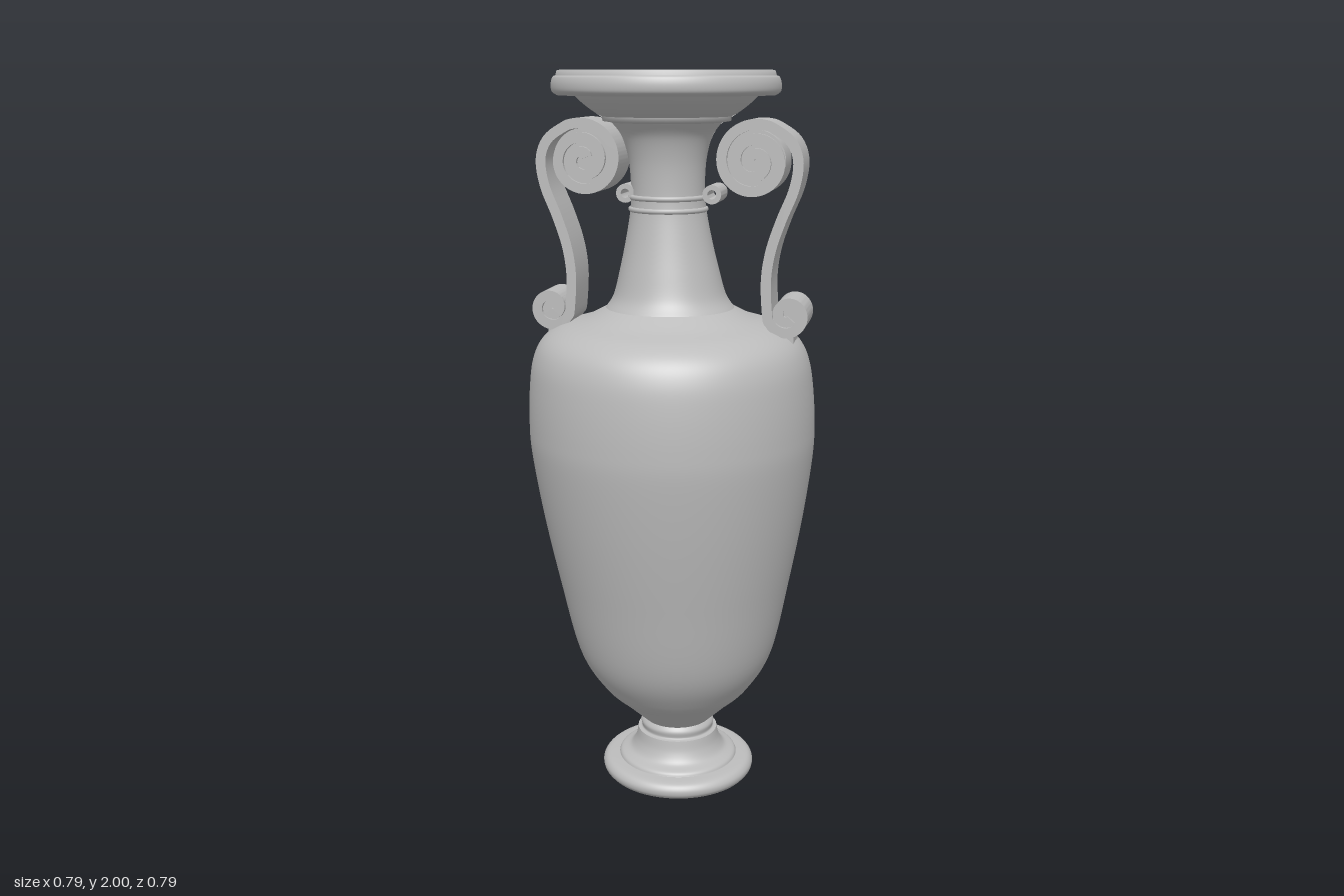
import * as THREE from 'three';
import { toCreasedNormals } from 'three/addons/utils/BufferGeometryUtils.js';

const stone = new THREE.MeshStandardMaterial({ color: 0xbcbcbc });
stone.name = 'pale grey stone';

// The turned parts lean very slightly towards -x as they rise.
const lean = new THREE.Matrix4().set(
  1, -0.0175, 0, 0.0175,
  0, 1, 0, 0,
  0, 0, 1, 0,
  0, 0, 0, 1);

const vectors = (points) => points.map(([x, y]) => new THREE.Vector2(x, y));

function addMesh(parent, name, geometry) {
  const mesh = new THREE.Mesh(geometry, stone);
  mesh.name = name;
  parent.add(mesh);
  return mesh;
}

// Smooth surface of revolution through a few profile points
function turned(parent, name, points, steps) {
  const profile = steps ? new THREE.SplineCurve(vectors(points)).getPoints(steps) : vectors(points);
  profile.forEach((p) => { p.x = Math.max(p.x, 0); });
  return addMesh(parent, name, new THREE.LatheGeometry(profile, 96).applyMatrix4(lean));
}

// Extrude a flat outline along z, centred, with rounded sides kept smooth
function slab(shape, depth) {
  const geometry = new THREE.ExtrudeGeometry(shape, { depth, bevelEnabled: false, curveSegments: 24 });
  geometry.translate(0, 0, 0.005 - depth / 2);
  return toCreasedNormals(geometry, 0.6);
}

// Strip of constant thickness following a centre line
function ribbon(points, thickness, depth, samples) {
  const curve = new THREE.SplineCurve(vectors(points));
  const left = [], right = [];
  for (let i = 0; i <= samples; i++) {
    const p = curve.getPoint(i / samples), t = curve.getTangent(i / samples);
    const n = new THREE.Vector2(-t.y, t.x).multiplyScalar(thickness / 2);
    left.push(p.clone().add(n));
    right.push(p.clone().sub(n));
  }
  return slab(new THREE.Shape([...left, ...right.reverse()]), depth);
}

function disc(x, y, radius, hole = 0) {
  const shape = new THREE.Shape().absarc(x, y, radius, 0, Math.PI * 2, false);
  if (hole) shape.holes.push(new THREE.Path().absarc(x, y, hole, 0, Math.PI * 2, true));
  return shape;
}

function spiral(cx, cy, startAngle, sweep, r0, r1, count) {
  return Array.from({ length: count + 1 }, (_, i) => {
    const t = i / count, a = startAngle + sweep * t, r = r0 + (r1 - r0) * t;
    return [cx + r * Math.cos(a), cy + r * Math.sin(a)];
  });
}

function createHandle(side) {
  const handle = new THREE.Group();
  handle.name = side > 0 ? 'leftHandle' : 'rightHandle';
  const mirror = (points) => points.map(([x, y]) => [x * side, y]);

  // Large scroll, S-shaped strap and small scroll in one strip
  const path = [
    ...spiral(0.23, 1.77, Math.PI / 3, Math.PI * 4.5, 0.098, 0.014, 54).reverse(),
    [0.325, 1.822], [0.345, 1.77], [0.335, 1.7], [0.303, 1.62], [0.277, 1.54], [0.266, 1.46],
    ...spiral(0.325, 1.372, Math.PI * 1.03, Math.PI * 2.7, 0.054, 0.014, 24),
  ];
  addMesh(handle, 'scrollStrap', ribbon(mirror(path), 0.027, 0.128, 420));

  // Recessed fillings behind the spirals
  addMesh(handle, 'upperScrollCore', slab(disc(0.23 * side, 1.77, 0.082), 0.106));
  addMesh(handle, 'lowerScrollCore', slab(disc(0.325 * side, 1.372, 0.042), 0.106));

  // Small rolled curl touching the neck, and foot touching the shoulder
  addMesh(handle, 'neckCurl', slab(disc(0.117 * side, 1.683, 0.025, 0.012), 0.1));
  const foot = addMesh(handle, 'strapFoot', new THREE.BoxGeometry(0.06, 0.05, 0.085));
  foot.position.set(0.31 * side, 1.312, 0.005);
  return handle;
}

export function createModel() {
  const vase = new THREE.Group();
  vase.name = 'vase';

  // Hollow foot and its moulding
  turned(vase, 'footHollow', [[0, 0.12], [0.05, 0.115], [0.085, 0.085], [0.115, 0.045], [0.16, 0.03], [0.18, 0.004]], 30);
  turned(vase, 'footBase', [[0.18, 0.004], [0.185, 0], [0.21, 0]]);
  turned(vase, 'footEdge', [[0.21, 0], [0.219, 0.012], [0.219, 0.028], [0.205, 0.042], [0.172, 0.046]], 20);
  turned(vase, 'footStem', [[0.172, 0.046], [0.165, 0.056], [0.138, 0.068], [0.122, 0.095], [0.115, 0.128]], 24);
  turned(vase, 'footCollar', [[0.115, 0.128], [0.104, 0.132], [0.106, 0.15], [0.096, 0.165]], 16);

  // Swelling body, shoulder and neck
  turned(vase, 'body', [
    [0.094, 0.16], [0.155, 0.218], [0.218, 0.28], [0.28, 0.39], [0.328, 0.6], [0.367, 0.8],
    [0.392, 0.97], [0.396, 1.06], [0.391, 1.16], [0.379, 1.235], [0.353, 1.287], [0.305, 1.322],
    [0.235, 1.345], [0.175, 1.375],
  ], 90);
  turned(vase, 'neck', [
    [0.175, 1.375], [0.153, 1.41], [0.134, 1.48], [0.116, 1.56], [0.102, 1.64], [0.099, 1.7],
    [0.104, 1.77], [0.12, 1.83], [0.146, 1.866],
  ], 50);
  for (const y of [1.64, 1.672]) {
    const ring = new THREE.TorusGeometry(0.101, 0.007, 10, 80).rotateX(Math.PI / 2).translate(0, y, 0);
    addMesh(vase, 'neckRing', ring.applyMatrix4(lean));
  }

  // Flaring mouth with a heavy lip
  turned(vase, 'mouthStep', [[0.146, 1.866], [0.17, 1.87], [0.172, 1.882]]);
  turned(vase, 'mouthFlare', [[0.172, 1.882], [0.195, 1.895], [0.225, 1.918], [0.245, 1.938]], 16);
  turned(vase, 'lipUnderside', [[0.245, 1.938], [0.288, 1.936]]);
  turned(vase, 'lip', [[0.288, 1.936], [0.301, 1.946], [0.303, 1.965], [0.298, 1.982], [0.29, 1.986]], 20);
  turned(vase, 'lipTop', [[0.29, 1.986], [0.287, 1.998], [0.28, 2], [0.274, 1.992]]);
  turned(vase, 'mouthInside', [[0.274, 1.992], [0.262, 1.965], [0.225, 1.92], [0.18, 1.885], [0.148, 1.865]], 24);
  turned(vase, 'throat', [[0.148, 1.865], [0.132, 1.85], [0.108, 1.8], [0.09, 1.73], [0.08, 1.65]], 24);
  turned(vase, 'throatFloor', [[0.08, 1.65], [0, 1.65]]);

  vase.add(createHandle(1), createHandle(-1));
  return vase;
}
